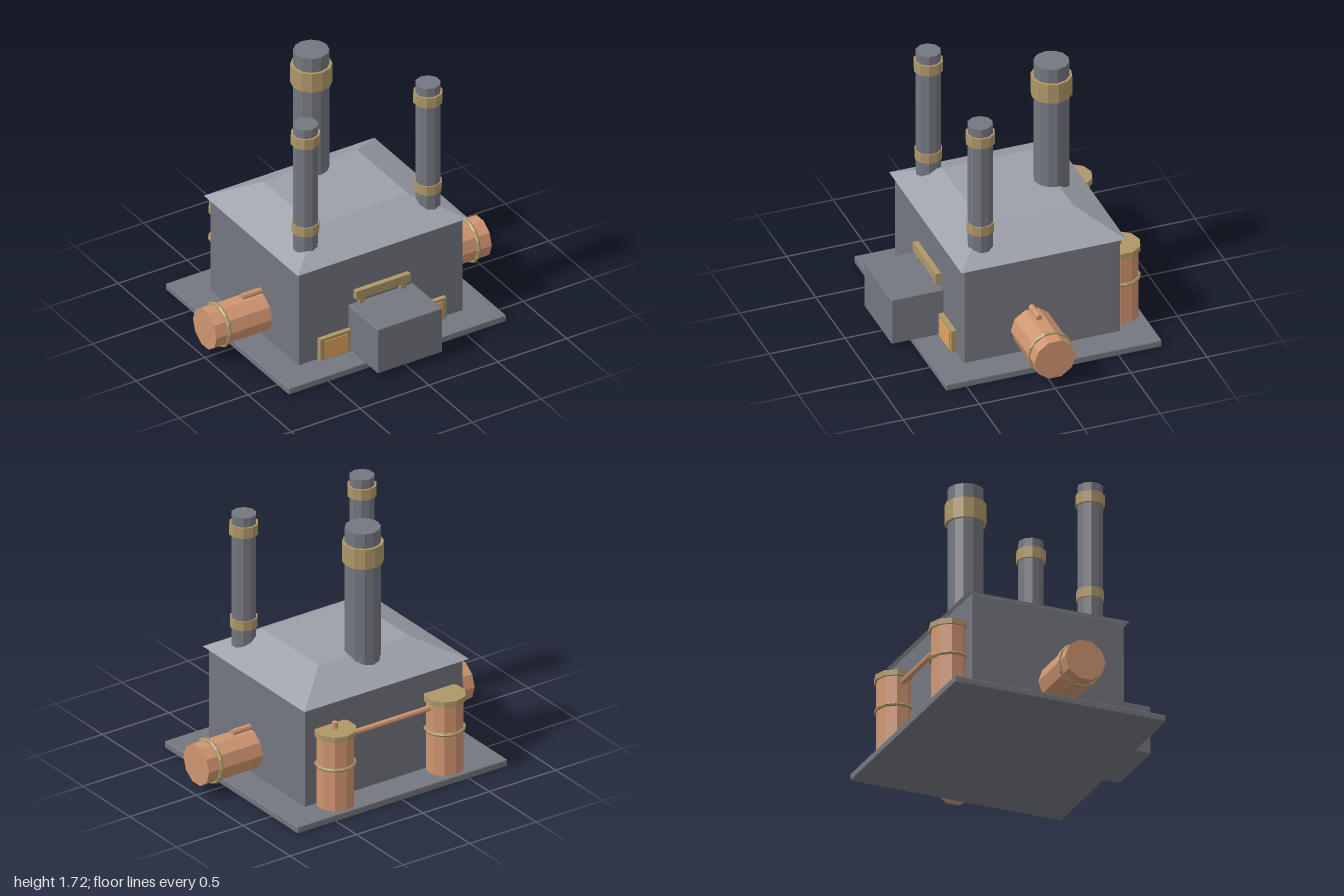
import * as THREE from 'three';
import { RoundedBoxGeometry } from 'three/addons/geometries/RoundedBoxGeometry.js';

const mat = (color) => new THREE.MeshStandardMaterial({ color, flatShading: true });

export function createModel() {
  const root = new THREE.Group();
  const steel = mat(0x74777f), roofSteel = mat(0x9da0a9);
  const copper = mat(0xcf9570), brass = mat(0xae9768), glow = mat(0xe3a45f);

  const add = (parent, name, geometry, material, x, y, z) => {
    const mesh = new THREE.Mesh(geometry, material);
    mesh.name = name;
    mesh.position.set(x, y, z);
    parent.add(mesh);
    return mesh;
  };
  // Box given by its minimum and maximum corners, with an optional small bevel
  const box = (parent, name, material, a, b, bevel = 0) => {
    const s = a.map((v, i) => b[i] - v);
    const g = bevel ? new RoundedBoxGeometry(...s, 1, bevel) : new THREE.BoxGeometry(...s);
    return add(parent, name, g, material, ...a.map((v, i) => (v + b[i]) / 2));
  };
  // Upright prism between two heights
  const post = (parent, name, material, r, y0, y1, x, z, sides) =>
    add(parent, name, new THREE.CylinderGeometry(r, r, y1 - y0, sides), material, x, (y0 + y1) / 2, z);
  // Prism lying along x
  const bar = (parent, name, material, r, x0, x1, y, z, sides) => {
    const m = add(parent, name, new THREE.CylinderGeometry(r, r, Math.abs(x1 - x0), sides), material, (x0 + x1) / 2, y, z);
    m.rotation.z = Math.PI / 2;
    return m;
  };
  const group = (name) => {
    const g = new THREE.Group();
    g.name = name;
    root.add(g);
    return g;
  };

  // Base slab and main housing
  box(root, 'basePlate', steel, [-0.79, 0, -0.785], [0.79, 0.045, 0.637], 0.006);
  box(root, 'housing', steel, [-0.595, 0.04, -0.585], [0.595, 0.72, 0.443], 0.006);

  // Hipped roof: a four-sided frustum
  const roofGeo = new THREE.CylinderGeometry(0.55 * Math.SQRT2, Math.SQRT2, 0.14, 4, 1);
  roofGeo.rotateY(Math.PI / 4);
  roofGeo.scale(0.62, 1, 0.543);
  add(root, 'roof', roofGeo, roofSteel, 0, 0.79, -0.0725);

  // Main chimney
  const main = group('mainChimney');
  post(main, 'stack', steel, 0.112, 0.74, 1.715, 0, -0.36, 12);
  post(main, 'collar', brass, 0.13, 1.48, 1.615, 0, -0.36, 12);

  // Front loading box and the bracket above it
  box(root, 'frontBox', steel, [-0.235, 0.045, 0.42], [0.235, 0.365, 0.783], 0.006);
  const bracket = group('bracket');
  box(bracket, 'bracketBar', brass, [-0.197, 0.405, 0.43], [0.197, 0.465, 0.478]);

  for (const s of [-1, 1]) {
    const side = s > 0 ? 'left' : 'right';

    box(bracket, side + 'BracketLeg', brass, [s * 0.15 - 0.02, 0.36, 0.43], [s * 0.15 + 0.02, 0.41, 0.468]);

    // Glowing hatch in a brass frame
    const hatch = group(side + 'Hatch');
    box(hatch, 'frame', brass, [s * 0.345 - 0.113, 0.045, 0.43], [s * 0.345 + 0.113, 0.2, 0.474]);
    box(hatch, 'glowPanel', glow, [s * 0.345 - 0.085, 0.055, 0.44], [s * 0.345 + 0.085, 0.18, 0.479]);

    // Slim front chimney
    const slim = group(side + 'SlimChimney');
    post(slim, 'stack', steel, 0.08, 0.74, 1.67, s * 0.445, 0.28, 10);
    post(slim, 'lowerCollar', brass, 0.088, 0.895, 0.96, s * 0.445, 0.28, 10);
    post(slim, 'upperCollar', brass, 0.093, 1.535, 1.608, s * 0.445, 0.28, 10);

    // Side pipe with band and top rod
    const pipe = group(side + 'Pipe');
    bar(pipe, 'barrel', copper, 0.136, s * 0.57, s, 0.21, 0, 10);
    const band = add(pipe, 'band', new THREE.TorusGeometry(0.136, 0.014, 6, 14), brass, s * 0.905, 0.21, 0);
    band.rotation.y = Math.PI / 2;
    bar(pipe, 'topRod', copper, 0.02, s * 0.57, s * 0.73, 0.354, 0, 8);

    // Rear tank with cap and band
    const tank = group(side + 'Tank');
    post(tank, 'barrel', copper, 0.12, 0.045, 0.53, s * 0.412, -0.65, 10);
    post(tank, 'cap', brass, 0.133, 0.525, 0.562, s * 0.412, -0.65, 10);
    const ring = add(tank, 'band', new THREE.TorusGeometry(0.121, 0.012, 6, 14), brass, s * 0.412, 0.33, -0.65);
    ring.rotation.x = Math.PI / 2;
  }

  // Rod joining the tanks, and the valve pin
  bar(root, 'tankRod', copper, 0.018, -0.35, 0.35, 0.49, -0.648, 8);
  post(root, 'valvePin', copper, 0.018, 0.55, 0.605, 0.412, -0.646, 8);

  return root;
}
